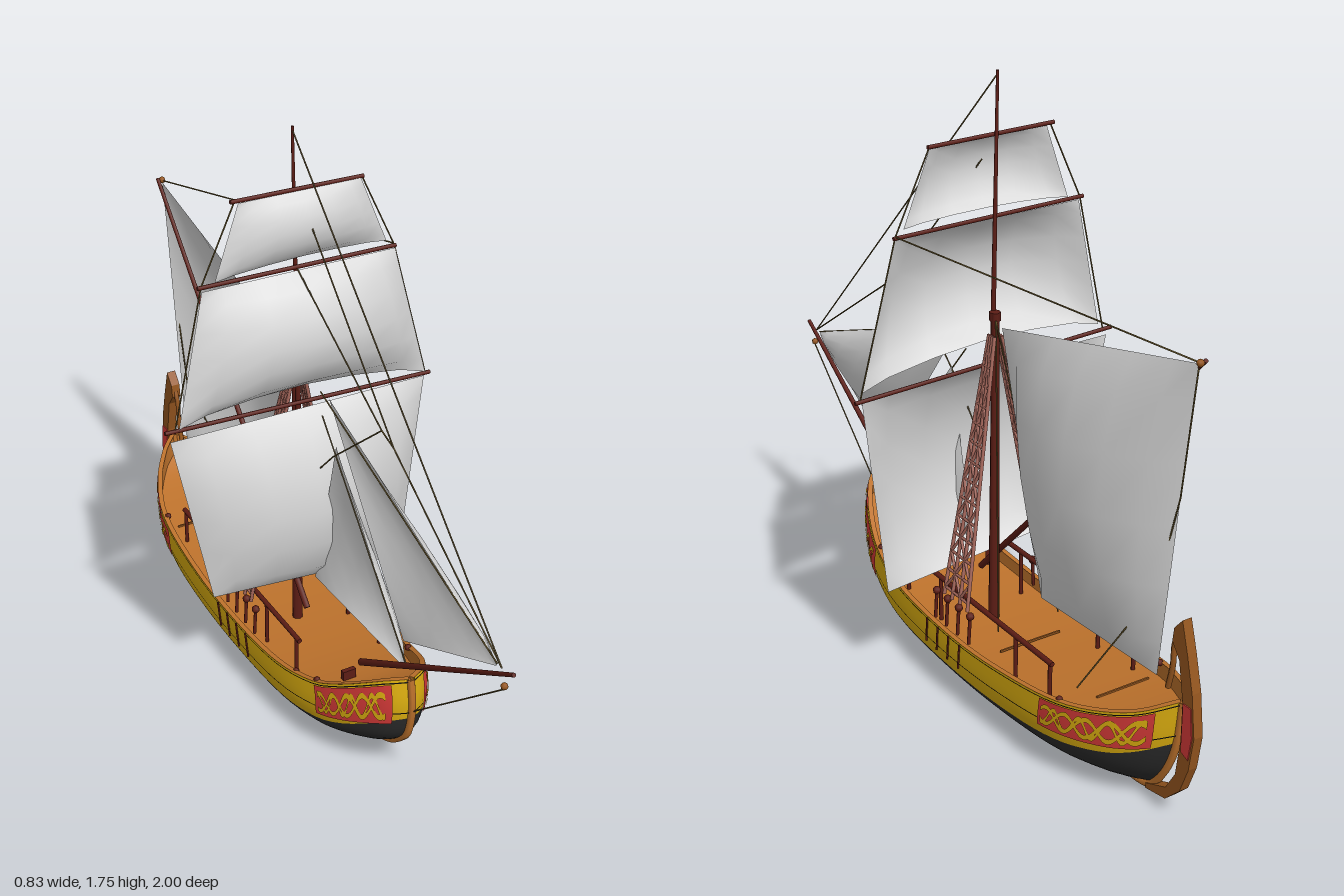
import * as THREE from 'three';

const paint = (name, color, side = THREE.FrontSide) => {
  const m = new THREE.MeshStandardMaterial({ color, side });
  m.name = name;
  return m;
};
const V = (x, y, z) => new THREE.Vector3(x, y, z);

// Smooth interpolation through a short table of [position, value] pairs
function curve(table) {
  const slope = i => {
    const a = table[Math.max(0, i - 1)], b = table[Math.min(table.length - 1, i + 1)];
    return (b[1] - a[1]) / (b[0] - a[0]);
  };
  return s => {
    let i = 0;
    while (i < table.length - 2 && s > table[i + 1][0]) i++;
    const [a, p] = table[i], [b, q] = table[i + 1], h = b - a, k = (s - a) / h;
    const k2 = k * k, k3 = k2 * k;
    return p * (2 * k3 - 3 * k2 + 1) + q * (3 * k2 - 2 * k3) + h * (slope(i) * (k3 - 2 * k2 + k) + slope(i + 1) * (k3 - k2));
  };
}

// Hull lines: u runs stern to bow, t runs keel to sheer
const sheer = curve([[0, .35], [.054, .305], [.15, .265], [.29, .235], [.49, .21], [.69, .22], [.83, .26], [.89, .302], [.95, .355], [.98, .38], [1, .387]]);
const keelY = curve([[0, .04], [.1, .025], [.5, .013], [.85, .03], [1, .065]]);
const bowZ = curve([[0, .355], [.11, .445], [.27, .51], [.42, .544], [.73, .561], [1, .549]]);
const sternZ = curve([[0, -.82], [.25, -.88], [.6, -.92], [1, -.935]]);
const beam = curve([[0, .008], [.03, .06], [.09, .12], [.19, .173], [.35, .194], [.6, .194], [.75, .182], [.85, .152], [.91, .12], [.96, .08], [.985, .047], [1, .006]]);
const paintLine = curve([[0, .58], [.1, .48], [.3, .42], [.6, .41], [.8, .42], [.9, .49], [1, .6]]);

const hullPoint = (u, t) => V(
  beam(u) * Math.sqrt(1 - Math.pow(1 - t, 4)),
  THREE.MathUtils.lerp(keelY(u), sheer(u), t),
  THREE.MathUtils.lerp(sternZ(t), bowZ(t), u));

function offsetPoint(u, t, off) {
  const e = .004, u0 = Math.max(0, u - e), u1 = Math.min(1, u + e), t0 = Math.max(0, t - e), t1 = Math.min(1, t + e);
  const du = hullPoint(u1, t).sub(hullPoint(u0, t)), dt = hullPoint(u, t1).sub(hullPoint(u, t0));
  const p = hullPoint(u, t).addScaledVector(dt.cross(du).normalize(), off);
  p.x = Math.max(p.x, 0);
  return p;
}

// Surface from a point rule over an n by m grid
function surface(n, m, point) {
  const pos = [], index = [];
  for (let i = 0; i <= n; i++) for (let j = 0; j <= m; j++) {
    pos.push(...point(i / n, j / m, i, j).toArray());
    if (i < n && j < m) {
      const a = i * (m + 1) + j, b = a + m + 1;
      index.push(a, a + 1, b, b, a + 1, b + 1);
    }
  }
  const g = new THREE.BufferGeometry();
  g.setAttribute('position', new THREE.Float32BufferAttribute(pos, 3));
  g.setIndex(index);
  g.computeVertexNormals();
  return g;
}

export function createModel() {
  const D = THREE.DoubleSide;
  const gold = paint('gold planking', 0xdcae10, D), black = paint('black bottom', 0x2c2c2c, D);
  const red = paint('red panel', 0xd63a38, D), deckWood = paint('deck wood', 0xbd722c, D);
  const timber = paint('rudder timber', 0x95561f), spar = paint('dark spar wood', 0x5c1d15);
  const rope = paint('rope', 0x65542a), shroud = paint('shroud', 0xa8695d), canvas = paint('canvas', 0xdadada, D);

  const model = new THREE.Group();
  const add = (name, geometry, material) => {
    const mesh = new THREE.Mesh(geometry, material);
    mesh.name = name;
    model.add(mesh);
    return mesh;
  };
  const rod = (name, a, b, r, material, r2 = r, sides = 8) => {
    const d = b.clone().sub(a);
    const mesh = add(name, new THREE.CylinderGeometry(r2, r, d.length(), sides), material);
    mesh.position.copy(a).add(b).multiplyScalar(.5);
    mesh.quaternion.setFromUnitVectors(V(0, 1, 0), d.normalize());
  };
  const ball = (name, x, y, z, r, material) => add(name, new THREE.SphereGeometry(r, 8, 6), material).position.set(x, y, z);

  // Strips lying on the hull, on both sides
  const ease = s => (1 - Math.cos(Math.PI * s)) / 2;
  const strip = (name, material, low, high, off, u0 = 0, u1 = 1, n = 48, m = 6) => {
    for (const side of [-1, 1]) add(name, surface(n, m, (s, k) => {
      const u = u0 + (u1 - u0) * (u1 - u0 === 1 ? ease(s) : s);
      const p = offsetPoint(u, THREE.MathUtils.lerp(low(u), high(u), k), off);
      p.x *= side;
      return p;
    }), material);
  };
  const at = v => () => v;
  strip('hullBottom', black, at(0), paintLine, 0, 0, 1, 48, 10);
  strip('hullTopside', gold, paintLine, at(1), 0);
  strip('innerBulwark', deckWood, at(.7), at(1), -.008);
  strip('lowerWale', black, at(.668), at(.68), .004, 0, 1, 48, 1);
  strip('upperWale', black, at(.972), at(.984), .004, 0, 1, 48, 1);
  for (const side of [-1, 1]) add('gunwale', surface(48, 1, (s, k) => {
    const p = offsetPoint(ease(s), 1, k ? -.012 : .003);
    return V(p.x * side, p.y + .002, p.z);
  }), deckWood);
  add('deck', surface(48, 2, (s, k) => {
    const p = offsetPoint(ease(s), .8, -.004);
    p.x *= 1 - 2 * k;
    return p;
  }), deckWood);

  // Painted panels with scrollwork at bow and stern
  for (const [u0, u1, lo] of [[.835, .985, .56], [.025, .235, .58]]) {
    strip('ornamentPanel', red, at(lo), at(.965), .005, u0, u1, 20, 3);
    const mid = (lo + .965) / 2, amp = (.965 - lo) * .3;
    for (const [sign, turns] of [[-1, 5], [1, 5], [1, 8]]) {
      const wave = u => mid + sign * amp * Math.sin((u - u0) / (u1 - u0) * Math.PI * turns);
      strip('scrollwork', gold, u => wave(u) - .032, u => wave(u) + .032, .008, u0 + .008, u1 - .008, 40, 1);
    }
  }

  // Keel and stem
  const keelPath = [];
  for (let i = 5; i >= 1; i--) keelPath.push(hullPoint(0, i / 5).setX(0));
  for (let i = 0; i <= 10; i++) keelPath.push(hullPoint(i / 10, 0).setX(0));
  for (let i = 1; i <= 8; i++) keelPath.push(hullPoint(1, i / 8).setX(0));
  add('keel', new THREE.TubeGeometry(new THREE.CatmullRomCurve3(keelPath), 80, .012, 6), deckWood);

  // Rudder, drawn in z and y and extruded across x
  const outer = [[-.82, .03], [-.9, .045], [-.955, .1], [-.985, .18], [-1, .28], [-.985, .4], [-.96, .5], [-.935, .585]];
  const inner = [[-.905, .55], [-.9, .51], [-.93, .47], [-.95, .36], [-.95, .25], [-.935, .14], [-.9, .08], [-.82, .045]];
  const plate = (points, thick) => new THREE.ExtrudeGeometry(
    new THREE.Shape(points.map(([z, y]) => new THREE.Vector2(-z, y))), { depth: thick, bevelEnabled: false })
    .translate(0, 0, -thick / 2).rotateY(Math.PI / 2);
  add('rudder', plate([...outer, ...inner], .028), timber);
  add('rudderPanel', plate([[-.983, .21], [-.994, .28], [-.984, .36], [-.955, .36], [-.955, .22]], .034), red);
  add('tiller', new THREE.TubeGeometry(new THREE.CatmullRomCurve3(
    [V(0, .55, -.925), V(0, .5, -.895), V(0, .43, -.89), V(0, .36, -.875)]), 16, .008, 6), timber);

  // Masts, yards, bowsprit and sprit
  rod('lowerMast', V(0, .16, -.085), V(-.005, 1.1, -.08), .016, spar, .011);
  rod('topmast', V(-.008, .9, -.06), V(-.025, 1.75, -.055), .008, spar, .004);
  rod('mastCap', V(-.008, 1.075, -.073), V(-.008, 1.1, -.073), .016, spar);
  rod('bowsprit', V(0, .26, .29), V(0, .725, 1), .011, spar, .006);
  rod('sprit', V(-.025, .28, .02), V(-.012, 1.26, -.94), .01, spar, .006);
  const yards = [[-.42, .96, .41, .92], [-.31, 1.365, .285, 1.35], [-.21, 1.585, .18, 1.575]];
  for (const [x0, y0, x1, y1] of yards) rod('yard', V(x0, y0, -.045), V(x1, y1, -.045), .006, spar);

  // Billowing sails: corners in order top left, top right, bottom right, bottom left
  const steps = [0, .11, .3, .5, .7, .89, 1], belly = [0, .5, .86, 1, .86, .5, 0];
  const sail = (name, [tl, tr, br, bl], bulge, roach = 0) => {
    add(name, surface(6, 6, (s, k, i, j) => {
      const u = steps[i], v = steps[j];
      const p = tl.clone().lerp(tr, u).lerp(bl.clone().lerp(br, u), v);
      p.addScaledVector(bulge, belly[i] * belly[j]);
      p.y += roach * v * belly[i];
      return p;
    }), canvas);
  };
  sail('courseSail', [V(-.41, .935, -.035), V(.385, .92, -.035), V(.315, .32, -.03), V(-.3, .385, -.03)], V(0, 0, .11));
  sail('topSail', [V(-.3, 1.355, -.04), V(.28, 1.345, -.04), V(.385, .935, -.03), V(-.385, .97, -.03)], V(0, 0, .1), .05);
  sail('topgallantSail', [V(-.19, 1.58, -.04), V(.17, 1.573, -.04), V(.255, 1.37, -.045), V(-.26, 1.37, -.045)], V(0, 0, .05), .015);
  sail('spritSail', [V(0, 1.07, -.12), V(-.003, 1.25, -.925), V(0, .37, -.83), V(0, .345, -.32)], V(.11, 0, 0));
  sail('jib', [V(0, .71, .93), V(.01, 1.01, .08), V(.01, .47, .49), V(0, .7, .925)], V(.045, 0, 0));
  sail('foreStaysail', [V(0, .41, .52), V(.01, .88, .12), V(.03, .34, -.03), V(0, .4, .515)], V(.05, 0, 0));

  // Shrouds with crossed ratlines, deadeyes and chainplates
  for (const side of [-1, 1]) {
    const foot = i => V(side * .16, .29, -.075 - i * .04), head = i => V(side * .012, 1.04, -.075 - i * .009);
    const on = (i, k) => foot(i).lerp(head(i), k);
    for (let i = 0; i < 4; i++) {
      rod('shroud', foot(i), head(i), .0055, shroud, .0055, 5);
      ball('deadeye', side * .163, .285, -.04 - i * .058, .012, spar);
      rod('deadeyePost', V(side * .168, .2, -.04 - i * .058), V(side * .163, .285, -.04 - i * .058), .005, spar);
      const chain = [.58, .98].map(t => offsetPoint((.895 - i * .058) / 1.49, t, .004));
      chain.forEach(p => { p.x *= side; });
      rod('chainplate', chain[0], chain[1], .003, spar, .003, 5);
    }
    for (let r = 0; r < 13; r++) {
      const k = r / 14 + .03, k2 = k + 1 / 14;
      rod('ratline', on(0, k), on(3, k), .0045, shroud, .0045, 5);
      for (let i = 0; i < 3; i++) {
        const flip = (r + i) % 2;
        rod('ratlineCross', on(i + flip, k), on(i + 1 - flip, k2), .0045, shroud, .0045, 5);
      }
    }

    // Side rails and small deck fittings
    rod('sideRail', V(side * .137, .31, .18), V(side * .137, .31, -.57), .0075, spar);
    for (const z of [.16, -.02, -.4, -.56]) rod('railPost', V(side * .137, .17, z), V(side * .137, .31, z), .006, spar);
    for (const [x, y, z] of [[.165, .235, .21], [.148, .262, .3], [.163, .252, -.64]]) ball('bollard', side * x, y, z, .01, spar);
  }
  for (const [x, y, z, w] of [[-.05, .208, -.63, .17], [0, .182, -.27, .2]]) {
    add('deckBeam', new THREE.BoxGeometry(w, .006, .005), timber).position.set(x, y, z);
  }
  add('windlass', new THREE.BoxGeometry(.04, .03, .014), spar).position.set(-.035, .225, .28);
  ball('spritBlock', 0, 1.255, -.935, .01, timber);
  ball('bowspritBlock', 0, .665, .965, .01, timber);

  // Running and standing rigging
  const lines = [
    [[-.025, 1.74, -.055], [0, .71, .95]], [[0, 1.51, -.02], [0, 1.05, .43], [0, .71, .95]],
    [[-.02, 1.36, -.05], [0, 1.07, .37], [0, 1.05, .43]], [[0, 1.07, .37], [0, .85, .12], [0, .72, 0]],
    [[0, .71, .93], [0, 1.02, .05]], [[0, .41, .53], [0, .95, .06]],
    [[.28, 1.355, -.05], [0, 1.255, -.93]], [[0, .66, .97], [0, .28, .56]],
    [[0, 1.24, -.93], [.01, .9, -.9], [0, .6, -.81], [.1, .26, -.63]],
    [[-.2, 1.58, -.045], [-.3, 1.365, -.045], [-.39, .96, -.045]], [[.175, 1.575, -.045], [.28, 1.352, -.045], [.395, .922, -.045]],
    [[0, 1.08, -.09], [.1, .24, -.26]], [[0, 1.08, -.09], [-.1, .24, -.26]],
  ];
  for (const path of lines) for (let i = 1; i < path.length; i++) {
    rod('riggingLine', V(...path[i - 1]), V(...path[i]), .0022, rope, .0022, 5);
  }
  return model;
}
